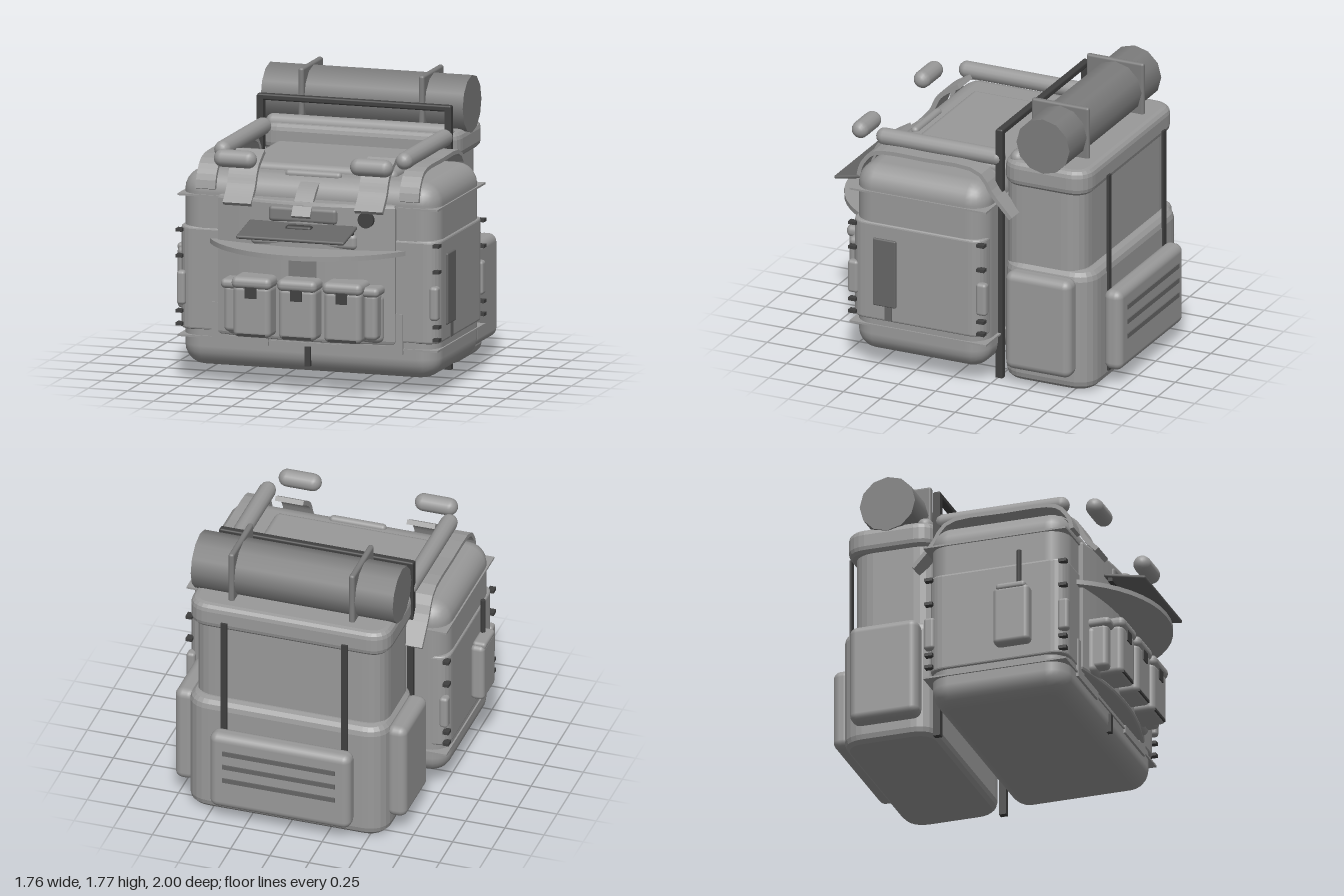
import * as THREE from 'three';
import { RoundedBoxGeometry } from 'three/addons/geometries/RoundedBoxGeometry.js';

const mat = (name, color) => { const m = new THREE.MeshStandardMaterial({ color }); m.name = name; return m; };

export function createModel() {
  const fabric = mat('light grey fabric', 0x999999);
  const roll = mat('mid grey canvas', 0x7c7c7c);
  const plateGrey = mat('plate grey', 0x666666);
  const dark = mat('dark metal', 0x404040);

  const model = new THREE.Group();
  const g = new THREE.Group();
  g.name = 'carryRig';
  g.position.set(0.03, 0, 0);
  model.add(g);

  const add = (name, geo, m, x = 0, y = 0, z = 0) => {
    const mesh = new THREE.Mesh(geo, m);
    mesh.name = name;
    mesh.position.set(x, y, z);
    g.add(mesh);
    return mesh;
  };
  // Boxes given by their limits: [x0, x1, y0, y1, z0, z1]
  const box = (name, m, [x0, x1, y0, y1, z0, z1], r = 0) => {
    const s = [x1 - x0, y1 - y0, z1 - z0];
    const geo = r ? new RoundedBoxGeometry(...s, 3, r) : new THREE.BoxGeometry(...s);
    return add(name, geo, m, (x0 + x1) / 2, (y0 + y1) / 2, (z0 + z1) / 2);
  };
  const mirrorBox = (name, m, [x0, x1, ...rest], r) => {
    box(name + 'Left', m, [x0, x1, ...rest], r);
    box(name + 'Right', m, [-x1, -x0, ...rest], r);
  };
  // Capsule lying along x or z
  const capsule = (name, axis, len, r, x, y, z) => {
    const geo = new THREE.CapsuleGeometry(r, len - 2 * r, 5, 14);
    if (axis === 'x') geo.rotateZ(Math.PI / 2); else geo.rotateX(Math.PI / 2);
    return add(name, geo, fabric, x, y, z);
  };
  // Upright block with rounded corners in plan
  const slab = (name, m, hw, z0, z1, y0, y1, r, bevel) => {
    const a = hw - bevel, b = z0 + bevel, c = z1 - bevel, s = new THREE.Shape();
    s.moveTo(-a + r, -c); s.lineTo(a - r, -c); s.quadraticCurveTo(a, -c, a, -c + r);
    s.lineTo(a, -b - r); s.quadraticCurveTo(a, -b, a - r, -b);
    s.lineTo(-a + r, -b); s.quadraticCurveTo(-a, -b, -a, -b - r);
    s.lineTo(-a, -c + r); s.quadraticCurveTo(-a, -c, -a + r, -c);
    const geo = new THREE.ExtrudeGeometry(s, { depth: y1 - y0 - 2 * bevel, bevelSize: bevel, bevelThickness: bevel, bevelSegments: 3, curveSegments: 6 });
    geo.rotateX(-Math.PI / 2);
    return add(name, geo, m, 0, y0 + bevel, 0);
  };
  // Strap following [z, y] points, thick t and wide w across x
  const ribbon = (name, pts, w, t, x, m = fabric) => {
    const curve = new THREE.SplineCurve(pts.map(p => new THREE.Vector2(...p)));
    const outer = [], inner = [];
    for (let i = 0; i <= 20; i++) {
      const p = curve.getPoint(i / 20), d = curve.getTangent(i / 20);
      outer.push(p);
      inner.unshift(new THREE.Vector2(p.x + d.y * -t, p.y + d.x * t));
    }
    const geo = new THREE.ExtrudeGeometry(new THREE.Shape([...outer, ...inner]), { depth: w, bevelEnabled: false });
    geo.translate(0, 0, -w / 2).rotateY(-Math.PI / 2);
    return add(name, geo, m, x, 0, 0);
  };

  // Torso body with side wrap and square-cornered seam flanges
  box('torso', fabric, [-0.82, 0.82, 0.1, 1.31, -0.25, 0.635], 0.13);
  slab('sideWrap', fabric, 0.83, -0.245, 0.64, 0.33, 0.965, 0.08, 0.015);
  box('torsoTop', fabric, [-0.5, 0.5, 1.1, 1.35, -0.25, 0.45], 0.04);
  box('collarFront', fabric, [-0.5, 0.5, 1.1, 1.3, 0.2, 0.56], 0.08);
  for (const y of [0.29, 1.16]) box('seamFlange', fabric, [-0.83, 0.83, y - 0.006, y + 0.006, -0.27, 0.645]);
  for (const z of [-0.235, 0.625]) {
    mirrorBox('cornerPad', fabric, [0.78, 0.835, 0.48, 0.69, z - 0.035, z + 0.035], 0.02);
    for (const y of [0.36, 0.44, 0.78, 0.94]) mirrorBox('cornerClip', dark, [0.8, 0.84, y - 0.01, y + 0.01, z - 0.025, z + 0.025]);
  }

  // Curved chest panel
  const plan = new THREE.Shape();
  plan.moveTo(-0.55, -0.5); plan.lineTo(-0.55, -0.65);
  plan.quadraticCurveTo(0, -0.8, 0.55, -0.65);
  plan.lineTo(0.55, -0.5);
  const chest = new THREE.ExtrudeGeometry(plan, { depth: 0.82, bevelSize: 0.015, bevelThickness: 0.02, bevelSegments: 2, curveSegments: 16 });
  chest.rotateX(-Math.PI / 2);
  add('chestPanel', chest, fabric, 0, 0.34, 0);
  mirrorBox('hipPlate', fabric, [0.25, 0.61, 0.26, 0.31, 0.6, 0.65]);
  mirrorBox('hipBracket', fabric, [0.5, 0.61, 0.3, 0.51, 0.6, 0.65]);
  box('frontPull', dark, [-0.018, 0.018, 0.15, 0.27, 0.62, 0.65]);

  // Front pouches
  box('pouchBelt', fabric, [-0.5, 0.5, 0.33, 0.64, 0.6, 0.72], 0.04);
  mirrorBox('endPouch', fabric, [0.4, 0.49, 0.36, 0.65, 0.66, 0.79], 0.03);
  mirrorBox('endPouchLid', fabric, [0.39, 0.505, 0.63, 0.69, 0.65, 0.81], 0.028);
  for (const x of [-0.29, 0, 0.29]) {
    box('pouch', fabric, [x - 0.12, x + 0.12, 0.345, 0.67, 0.66, 0.86], 0.035);
    box('pouchLid', fabric, [x - 0.127, x + 0.127, 0.645, 0.72, 0.66, 0.872], 0.034);
    box('pouchClip', dark, [x - 0.036, x + 0.036, 0.59, 0.66, 0.84, 0.867]);
    box('pouchTrim', dark, [x - 0.09, x + 0.09, 0.355, 0.37, 0.8, 0.86]);
  }

  // Chest table, tilted board and hanging arm
  const table = new THREE.CylinderGeometry(0.72, 0.72, 0.03, 24, 1, false, -Math.PI / 2, Math.PI);
  add('chestTable', table, fabric, 0, 0.885, 0.28);
  const board = add('tiltedBoard', new RoundedBoxGeometry(0.69, 0.022, 0.27, 2, 0.01), plateGrey, 0, 1.015, 0.85);
  board.rotation.x = 0.2;
  box('boardEdge', dark, [-0.33, 0.33, 1.0, 1.03, 0.74, 0.77]);
  box('boardClasp', dark, [-0.085, 0.085, 0.945, 1.05, 0.77, 0.83], 0.02);
  box('tableStand', roll, [-0.09, 0.09, 0.64, 0.88, 0.69, 0.74]);
  box('boardMount', fabric, [-0.34, 0.34, 0.9, 1.0, 0.6, 0.735], 0.03);
  box('armBase', roll, [-0.22, 0.22, 1.05, 1.15, 0.62, 0.745], 0.025);
  box('armHead', fabric, [-0.18, 0.18, 1.285, 1.335, 0.5, 0.55], 0.024);
  ribbon('hangingArm', [[0.78, 1.1], [0.72, 1.18], [0.63, 1.26], [0.52, 1.3]], 0.12, 0.025, 0);
  const knob = new THREE.CylinderGeometry(0.05, 0.05, 0.03, 16).rotateX(Math.PI / 2);
  add('chestKnob', knob, dark, 0.395, 1.09, 0.705);

  // Shoulder rolls, straps and front pads
  for (const s of [-1, 1]) {
    capsule('shoulderRoll', 'z', 0.86, 0.053, s * 0.58, 1.432, 0.15);
    capsule('frontPad', 'x', 0.27, 0.055, s * 0.435, 1.418, 0.72);
    ribbon('shoulderStrap', [[0.63, 1.2], [0.6, 1.29], [0.5, 1.365], [0.2, 1.37], [-0.13, 1.36], [-0.25, 1.22], [-0.37, 1.09]], 0.125, -0.025, s * 0.65);
    ribbon('chestStrap', [[0.72, 1.13], [0.64, 1.22], [0.58, 1.33], [0.46, 1.41]], 0.18, -0.03, s * 0.42);
  }
  capsule('neckRoll', 'x', 1.2, 0.05, 0, 1.44, -0.355);

  // Side panel with stem, and radio with antenna
  box('sidePanel', plateGrey, [0.825, 0.845, 0.43, 0.87, 0.33, 0.485], 0.009);
  box('sidePanelStem', plateGrey, [0.825, 0.838, 0.34, 0.44, 0.36, 0.405]);
  box('radio', fabric, [-0.91, -0.82, 0.41, 0.79, 0.2, 0.43], 0.03);
  box('radioLid', fabric, [-0.915, -0.83, 0.765, 0.81, 0.22, 0.41], 0.02);
  add('antenna', new THREE.CylinderGeometry(0.016, 0.016, 0.26, 8), dark, -0.855, 0.905, 0.355);

  // Dark carrying frame
  mirrorBox('framePost', dark, [0.58, 0.62, 0, 1.62, -0.28, -0.235]);
  box('frameBar', dark, [-0.62, 0.62, 1.59, 1.63, -0.28, -0.235], 0.012);

  // Backpack
  slab('packLower', fabric, 0.64, -0.88, -0.27, 0.01, 0.785, 0.09, 0.06);
  slab('packUpper', fabric, 0.61, -0.81, -0.27, 0.7, 1.36, 0.12, 0.02);
  slab('packFlap', fabric, 0.64, -0.85, -0.27, 1.28, 1.445, 0.09, 0.045);
  mirrorBox('packSidePocket', fabric, [0.61, 0.74, 0.12, 0.755, -0.785, -0.345], 0.05);
  box('packBackPocket', fabric, [-0.45, 0.45, 0.1, 0.62, -0.992, -0.87], 0.05);
  for (const y of [0.5, 0.405, 0.31]) box('pocketSlat', plateGrey, [-0.36, 0.36, y - 0.015, y + 0.015, -1.0, -0.985]);
  mirrorBox('packStrap', dark, [0.365, 0.405, 0.08, 1.36, -0.892, -0.878]);

  // Bedroll and its square straps
  const bed = new THREE.CylinderGeometry(0.178, 0.178, 1.29, 12).rotateZ(Math.PI / 2);
  add('bedroll', bed, roll, 0, 1.583, -0.565);
  mirrorBox('bedrollStrap', roll, [0.367, 0.403, 1.4, 1.775, -0.755, -0.37], 0.015);
  return model;
}
